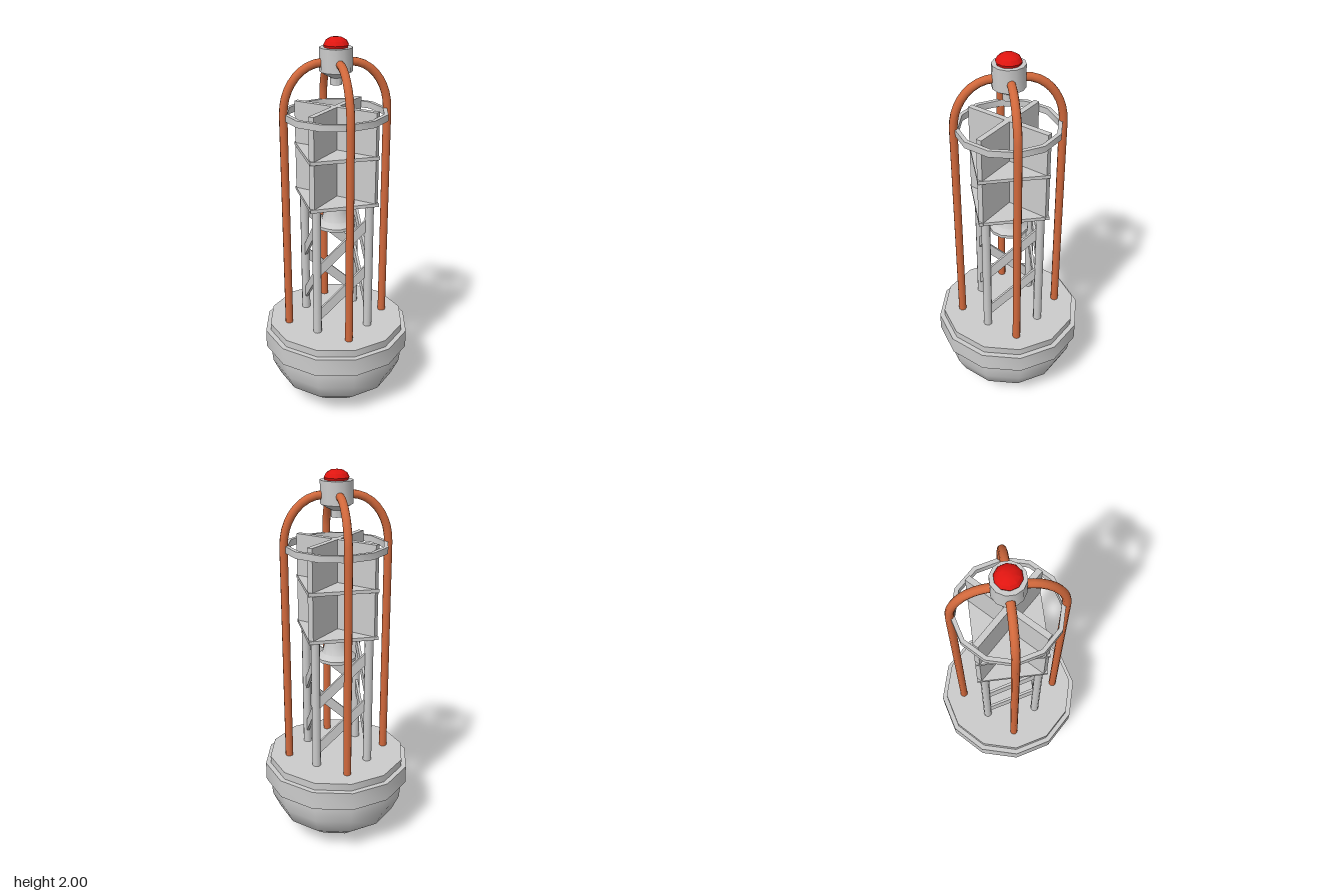
import * as THREE from 'three';
import { toCreasedNormals } from 'three/addons/utils/BufferGeometryUtils.js';

const grey = new THREE.MeshStandardMaterial({ color: 0xcccccc });
const orange = new THREE.MeshStandardMaterial({ color: 0xd2693c });
const red = new THREE.MeshStandardMaterial({ color: 0xe01510 });

export function createModel() {
  const model = new THREE.Group();

  function add(name, geometry, material = grey, parent = model) {
    const mesh = new THREE.Mesh(geometry, material);
    mesh.name = name;
    parent.add(mesh);
    return mesh;
  }

  // Turned part from [radius, height] pairs, listed bottom to top on the outside
  function turned(name, profile, material = grey, phi = 0, sides = 12) {
    const points = profile.map(([r, y]) => new THREE.Vector2(r, y));
    const lathe = new THREE.LatheGeometry(points, sides, phi);
    return add(name, toCreasedNormals(lathe, 0.62), material);
  }

  // Float: rounded hull, deck and bumper collar
  turned('hull', [[0, 0], [0.115, 0.017], [0.225, 0.05], [0.325, 0.13], [0.366, 0.22],
    [0.373, 0.29], [0.373, 0.46], [0, 0.46]]);
  turned('bumperCollar', [[0.36, 0.32], [0.4, 0.32], [0.4, 0.42], [0.36, 0.42]]);

  // Four orange guard bars arching in to the lamp
  const path = new THREE.CurvePath();
  path.add(new THREE.LineCurve3(new THREE.Vector3(0.268, 0.44, 0), new THREE.Vector3(0.268, 1.63, 0)));
  const arch = [];
  for (let i = 0; i <= 6; i++) {
    const a = (i / 6) * Math.PI / 2;
    arch.push(new THREE.Vector3(0.068 + 0.2 * Math.cos(a), 1.63 + 0.25 * Math.sin(a), 0));
  }
  path.add(new THREE.CatmullRomCurve3(arch));
  const barGeometry = new THREE.TubeGeometry(path, 40, 0.021, 10);

  // One side of the tower, repeated by quarter turns
  const legGeometry = new THREE.CylinderGeometry(0.023, 0.023, 0.74, 10);
  const rise = 0.26, span = 0.28;
  const braceGeometry = new THREE.BoxGeometry(Math.hypot(rise, span), 0.05, 0.014);
  for (let i = 0; i < 4; i++) {
    const side = new THREE.Group();
    side.name = 'towerSide';
    side.rotation.y = i * Math.PI / 2;
    model.add(side);
    add('guardBar', barGeometry, orange, side);
    add('leg', legGeometry, grey, side).position.set(0.14, 0.81, 0.14);
    for (const y of [0.68, 0.945]) {
      const brace = add('brace', braceGeometry, grey, side);
      brace.position.set(0, y, 0.14);
      brace.rotation.z = Math.atan2(rise, span);
    }
  }

  // Radar reflector: crossed upright plates with two square shelves
  for (const turn of [1, -1]) {
    const plate = add('reflectorPlate', new THREE.BoxGeometry(0.474, 0.485, 0.03));
    plate.position.y = 1.4175;
    plate.rotation.y = turn * Math.PI / 4;
  }
  for (const y of [1.18, 1.43]) {
    add('reflectorShelf', new THREE.BoxGeometry(0.356, 0.018, 0.356)).position.y = y;
  }

  // Hoop tying the guard bars together
  turned('hoop', [[0.245, 1.603], [0.266, 1.603], [0.266, 1.637], [0.245, 1.637], [0.245, 1.603]]);

  // Bell hanging below the reflector
  turned('bell', [[0, 1.04], [0.085, 1.015], [0.105, 1.015], [0.105, 1.032], [0.078, 1.055],
    [0.066, 1.1], [0.057, 1.145], [0.035, 1.165], [0.02, 1.175]]);

  // Lamp housing with tapered underside, and red lens
  turned('lampHousing', [[0, 1.77], [0.03, 1.77], [0.03, 1.805], [0.082, 1.835],
    [0.082, 1.95], [0, 1.95]], grey, Math.PI / 12);
  turned('lampLens', [[0.058, 1.945], [0.064, 1.962], [0.053, 1.982], [0.03, 1.996], [0, 2]],
    red, Math.PI / 10, 10);

  return model;
}
